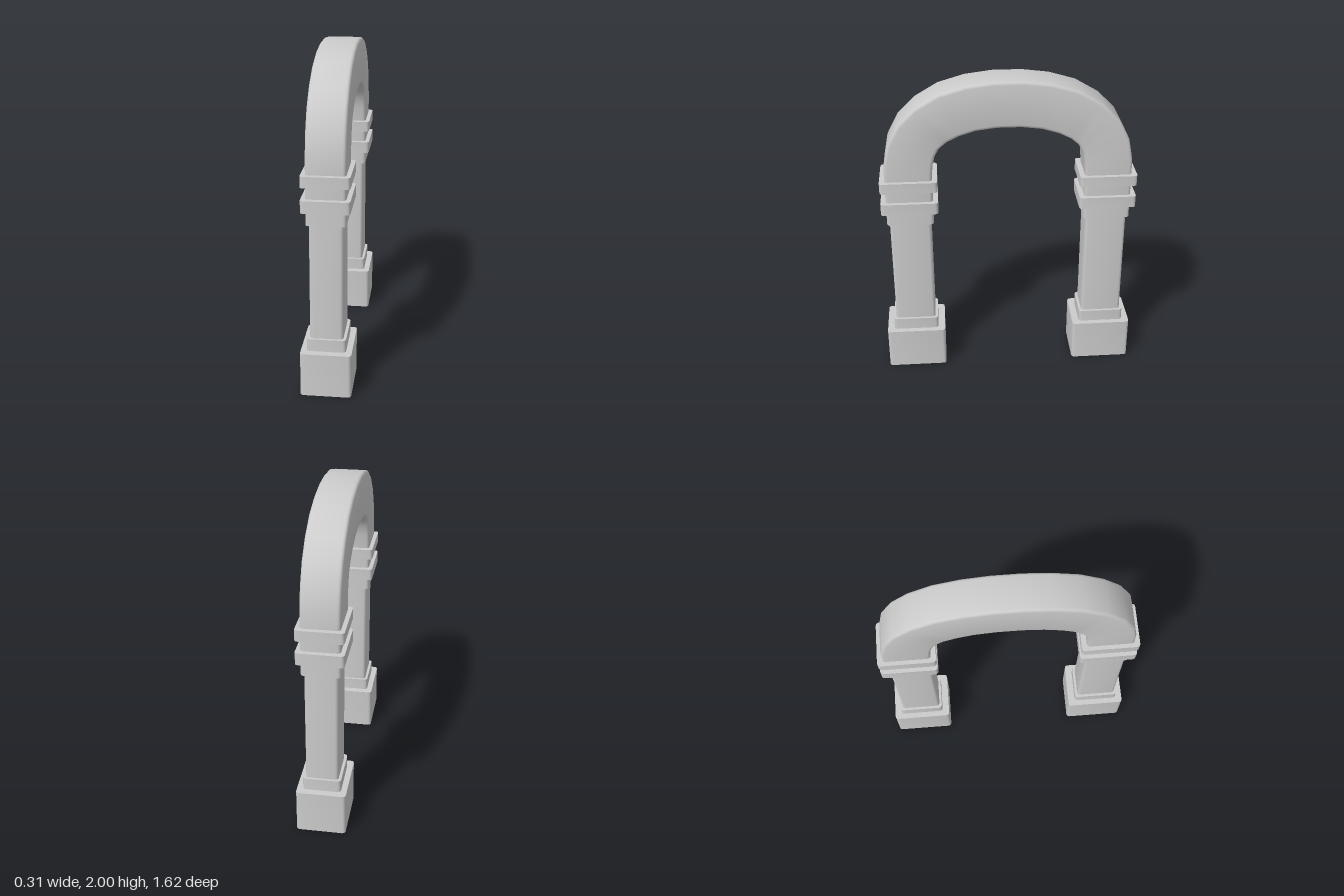
import * as THREE from 'three';
import { toCreasedNormals } from 'three/addons/utils/BufferGeometryUtils.js';

const CREASE = 0.65;
const LEG_Z = 0.62;

// Outline of a rounded rectangle, counter-clockwise
function roundedRect(hx, hz, r = 0.02, steps = 3) {
  const points = [];
  [[1, 1], [-1, 1], [-1, -1], [1, -1]].forEach(([sx, sz], q) => {
    for (let i = 0; i <= steps; i++) {
      const a = (q + i / steps) * Math.PI / 2;
      points.push(new THREE.Vector2(sx * (hx - r) + r * Math.cos(a), sz * (hz - r) + r * Math.sin(a)));
    }
  });
  return points;
}

// Open skin through a row of equal-sized rings of Vector3
function loft(rings) {
  const n = rings[0].length;
  const index = [];
  for (let i = 0; i < rings.length - 1; i++) {
    for (let j = 0; j < n; j++) {
      const k = (j + 1) % n;
      const a = i * n + j, b = a + n, c = i * n + k, d = c + n;
      index.push(a, b, c, c, b, d);
    }
  }
  const geometry = new THREE.BufferGeometry().setFromPoints(rings.flat());
  geometry.setIndex(index);
  return toCreasedNormals(geometry, CREASE);
}

// Upright block with a rectangular hole the size of the shaft
function collar(y0, y1, hx, hz) {
  const shape = new THREE.Shape(roundedRect(hx, hz));
  shape.holes.push(new THREE.Path(roundedRect(0.1, 0.13).reverse()));
  const geometry = new THREE.ExtrudeGeometry(shape, { depth: y1 - y0, bevelEnabled: false });
  geometry.rotateX(-Math.PI / 2).translate(0, y0, 0);
  return toCreasedNormals(geometry, CREASE);
}

export function createModel() {
  const model = new THREE.Group();
  model.name = 'archway';
  const material = new THREE.MeshStandardMaterial({ color: 0xcccccc });
  const thin = new THREE.MeshStandardMaterial({ color: 0xcccccc, side: THREE.DoubleSide });

  const add = (parent, name, geometry, mat = material) => {
    const mesh = new THREE.Mesh(geometry, mat);
    mesh.name = name;
    parent.add(mesh);
  };

  // Two legs: hollow shaft with stepped blocks around it
  const blocks = [
    ['base', 0, 0.275, 0.153, 0.191],
    ['plinth', 0.275, 0.353, 0.117, 0.146],
    ['capital', 1.07, 1.375, 0.117, 0.146],
    ['lowerRing', 1.155, 1.23, 0.143, 0.178],
    ['upperRing', 1.305, 1.373, 0.143, 0.178],
  ];
  for (const side of [1, -1]) {
    const leg = new THREE.Group();
    leg.name = side > 0 ? 'frontLeg' : 'backLeg';
    leg.position.z = side * LEG_Z;
    const outline = roundedRect(0.1, 0.13);
    const rings = [0, 1.375].map(y => outline.map(p => new THREE.Vector3(p.x, y, p.y)));
    add(leg, 'shaft', loft(rings), thin);
    for (const [name, ...size] of blocks) add(leg, name, collar(...size));
    model.add(leg);
  }

  // Arch: paired outer and inner points [z, y] from the front leg to the crown
  const half = [
    [0.766, 1.37, 0.474, 1.37],
    [0.764, 1.47, 0.467, 1.47],
    [0.737, 1.607, 0.451, 1.533],
    [0.668, 1.74, 0.424, 1.582],
    [0.562, 1.846, 0.377, 1.623],
    [0.419, 1.931, 0.302, 1.66],
    [0.255, 1.979, 0.2, 1.692],
    [0.09, 2.0, 0.074, 1.708],
  ];
  const mirrored = half.map(([oz, oy, iz, iy]) => [-oz, oy, -iz, iy]).reverse();
  const section = roundedRect(0.117, 0.146);
  const archRings = [...half, ...mirrored].map(([oz, oy, iz, iy]) => section.map(p => {
    const t = (p.y / 0.146 + 1) / 2;
    return new THREE.Vector3(p.x, iy + (oy - iy) * t, iz + (oz - iz) * t);
  }));
  add(model, 'arch', loft(archRings), thin);

  return model;
}
